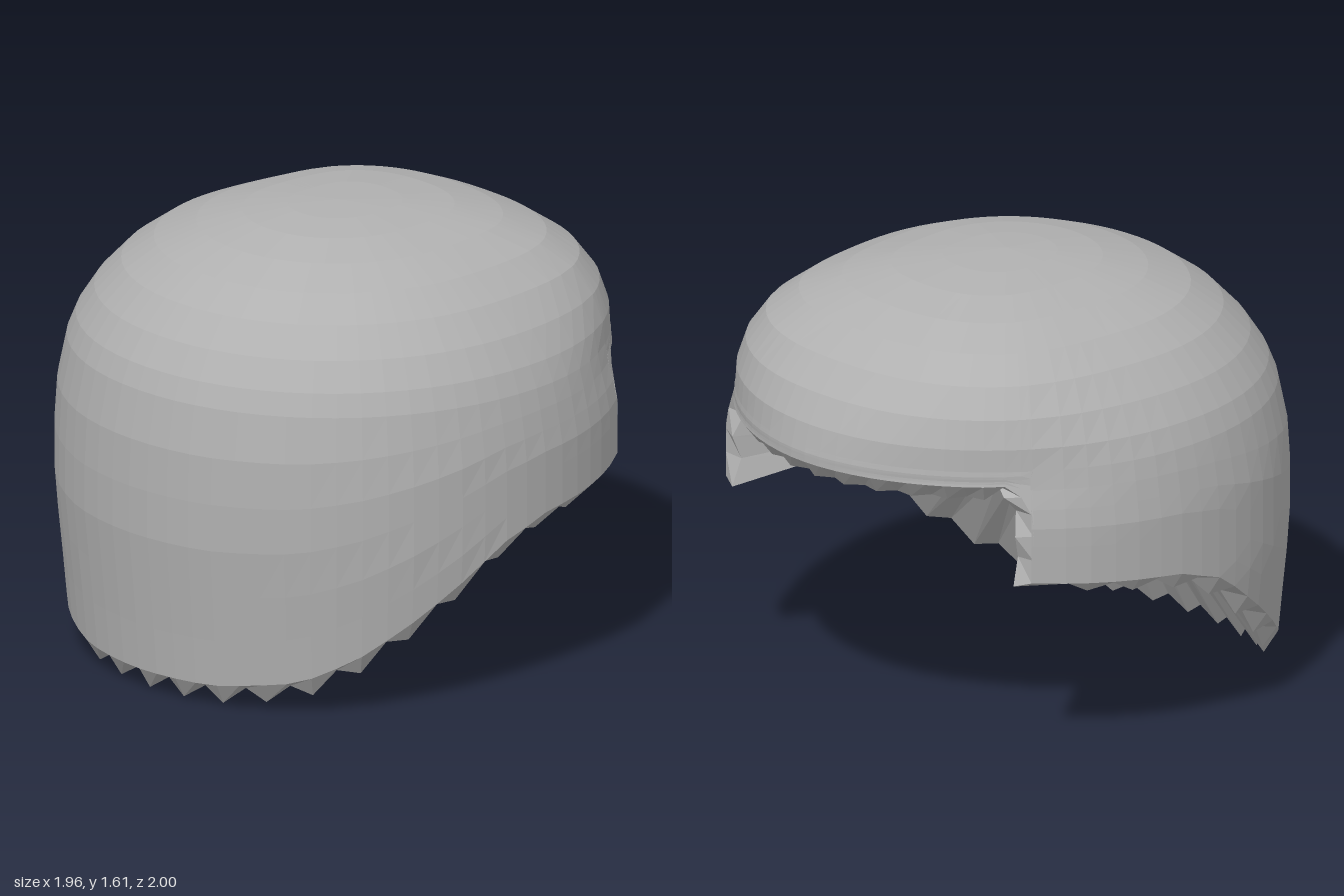
import * as THREE from 'three';

const { lerp, smoothstep, degToRad } = THREE.MathUtils;
const TOP = 1.61;
const APEX = new THREE.Vector3(0, 0.98, 0.2);

// Linear lookup in a list of [input, output] pairs
function lookup(table, v) {
  if (v <= table[0][0]) return table[0][1];
  for (let i = 1; i < table.length; i++) {
    const [a, fa] = table[i - 1], [b, fb] = table[i];
    if (v <= b) return fa + (fb - fa) * (v - a) / (b - a);
  }
  return table[table.length - 1][1];
}

// Horizontal scale of the dome by height, for the front/sides and for the back
const FRONT = [[0.08, 0.95], [0.3, 0.97], [0.6, 1], [0.9, 1], [1.1, 0.965], [1.2, 0.925], [1.3, 0.86],
  [1.4, 0.765], [1.48, 0.65], [1.54, 0.5], [1.58, 0.34], [1.6, 0.18], [TOP, 0]];
const BACK = [[0.6, 1], [1.1, 1], [1.2, 0.975], [1.3, 0.92], [1.4, 0.83], [1.48, 0.71], [1.54, 0.57],
  [1.58, 0.41], [1.6, 0.23], [TOP, 0]];
// Height of the lower edge and size of its teeth by angle from the front
const RIM = [[0, 0.08], [20, 0.085], [40, 0.13], [52, 0.22], [63, 0.34], [73, 0.46], [84, 0.6],
  [96, 0.67], [110, 0.69], [128, 0.715]];
const DROP = [[0, 0.08], [85, 0.075], [128, 0.035]];
// Squareness of the rear cross-section by height: a little pinched at the rim, full at the crown
const REAR_SHAPE = [[0.95, 2.03], [1.08, 1.9], [1.15, 1.95], [1.3, 2.25], [1.45, 2.6], [1.58, 2.6]];

function domePoint(deg, y) {
  const a = degToRad(deg);
  const sx = Math.sin(a), cz = Math.cos(a);
  const p = lerp(2.06, lookup(REAR_SHAPE, y), smoothstep(-cz, 0, 0.7));
  const r = Math.pow(Math.abs(sx) ** p + Math.abs(cz) ** p, -1 / p);
  const back = Math.max(0, -cz) ** 2;
  const s = lerp(lookup(FRONT, y), lookup(BACK, y), back);
  return new THREE.Vector3(sx * r * s * 0.982, y, cz * r * s);
}

// Columns around half of the model: toothed front and sides, notch edge, raised back
function halfColumns() {
  const list = [];
  for (let i = 0; i < 24; i++) {
    const deg = i * 5.3;
    list.push({ deg, y: lookup(RIM, deg), drop: lookup(DROP, deg), inset: [0.05, 0.065], toBack: 0 });
  }
  const notch = { inset: [0.08, 0.1], toBack: 0.08 };
  list.push({ deg: 129, y: 0.715, drop: 0.02, ...notch });
  for (const [deg, y] of [[128.6, 0.8], [128.6, 0.89], [129, 0.97], [131, 1.03]])
    list.push({ deg, y, drop: 0.01, ...notch });
  list.push({ deg: 134.5, y: 1.068, drop: 0.06, inset: [0.07, 0.09], toBack: 0.04 });
  for (let i = 0; i <= 10; i++)
    list.push({ deg: 139 + i * 4.1, y: 1.065, drop: 0.065, inset: [0.05, 0.085], toBack: 0, level: true });
  list.forEach((c, i) => { c.tip = i % 2 === 0; });
  return list;
}

// Closed band of quads; rows run from the bottom of the outside upwards
function bandGeometry(rows) {
  const pos = [], n = rows[0].length;
  const tri = (a, b, c) => {
    if (a.distanceTo(b) > 1e-5 && b.distanceTo(c) > 1e-5 && c.distanceTo(a) > 1e-5)
      for (const v of [a, b, c]) pos.push(v.x, v.y, v.z);
  };
  for (let r = 0; r < rows.length - 1; r++) {
    for (let i = 0; i < n; i++) {
      const j = (i + 1) % n, lo = rows[r], hi = rows[r + 1];
      tri(lo[i], lo[j], hi[j]);
      tri(lo[i], hi[j], hi[i]);
    }
  }
  const g = new THREE.BufferGeometry();
  g.setAttribute('position', new THREE.Float32BufferAttribute(pos, 3));
  g.computeVertexNormals();
  return g;
}

export function createModel() {
  const group = new THREE.Group();
  group.name = 'hairCap';
  const grey = new THREE.MeshStandardMaterial({ color: 0xb0b0b0, flatShading: true });
  grey.name = 'plain grey';

  const half = halfColumns();
  const mirrored = half.slice(1, -1).reverse().map(c => ({ ...c, deg: 360 - c.deg }));
  const columns = [...half, ...mirrored];

  // Outer dome: evenly spaced rows up to the shoulder, then fixed rows to the crown
  const domeRows = [];
  for (let k = 0; k <= 6; k++)
    domeRows.push(columns.map(c => domePoint(c.deg, lerp(c.y, 1.12, k / 6))));
  for (const y of [1.2, 1.3, 1.4, 1.48, 1.54, 1.58, 1.6, TOP])
    domeRows.push(columns.map(c => domePoint(c.deg, y)));

  // Jagged lower edge: alternating tips and notches set in from the rim
  const edge = columns.map((c, i) => {
    const p = domeRows[0][i].clone();
    const k = 1 - c.inset[c.tip ? 0 : 1] / Math.hypot(p.x, p.z);
    p.x *= k;
    p.z = p.z * k - c.toBack * (c.tip ? 1 : 0.8);
    p.y -= c.drop * (c.tip || c.level ? 1 : 0.35);
    return p;
  });

  // Hollow underside: shallow cone with one evened-out bend, meeting at a point
  const n = edge.length;
  const bend = edge.map((p, i) => {
    const even = columns[i].toBack ? p : edge[(i + n - 1) % n].clone().add(edge[(i + 1) % n]).lerp(p.clone().multiplyScalar(2), 0.5).multiplyScalar(0.5);
    return new THREE.Vector3(lerp(APEX.x, even.x, 0.63), lerp(APEX.y, even.y, 0.56), lerp(APEX.z, even.z, 0.63));
  });
  const apex = edge.map(() => APEX);

  const parts = { outerDome: domeRows, jaggedRim: [edge, domeRows[0]], hollowUnderside: [apex, bend, edge] };
  for (const [name, rows] of Object.entries(parts)) {
    const mesh = new THREE.Mesh(bandGeometry(rows), grey);
    mesh.name = name;
    group.add(mesh);
  }
  return group;
}
